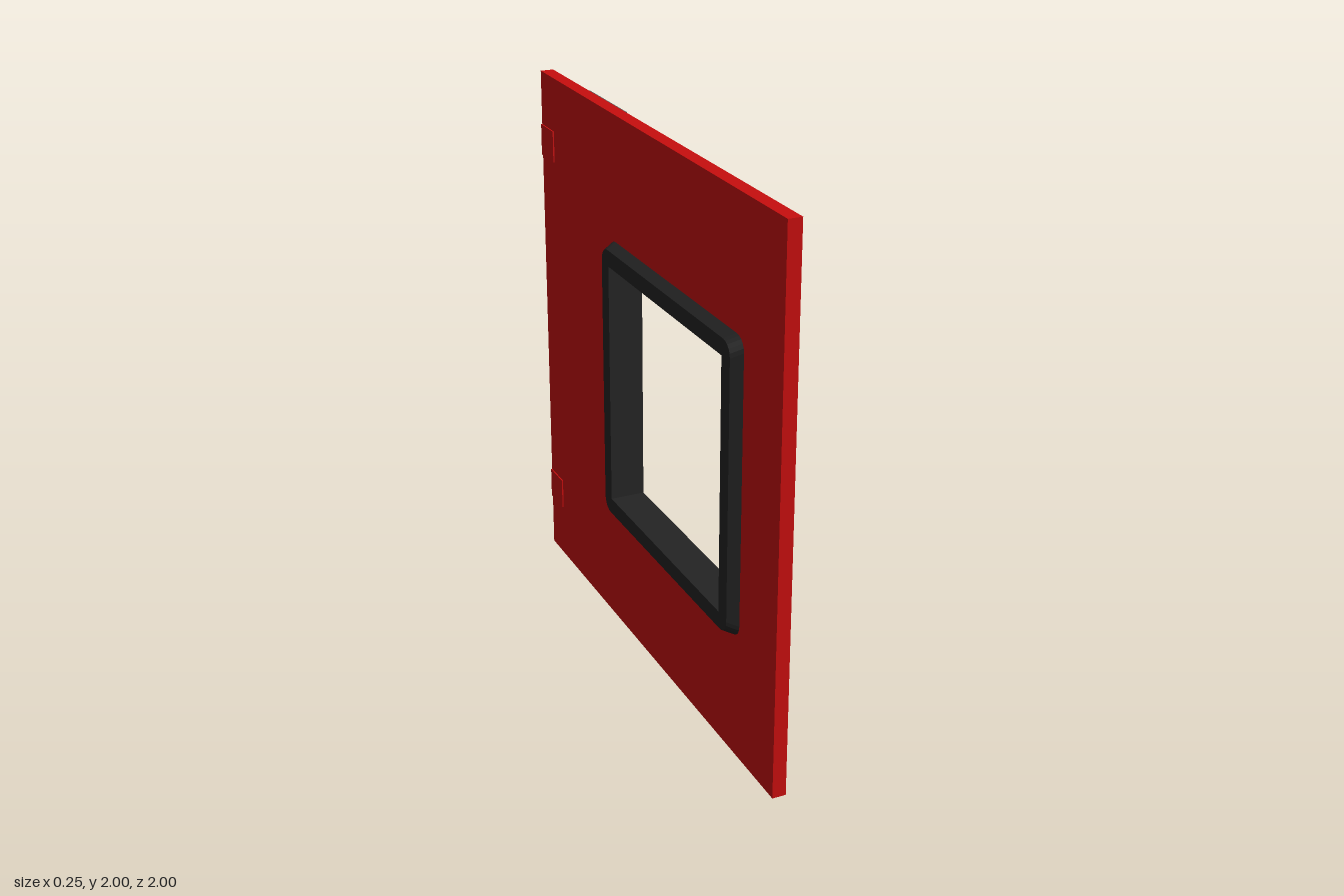
import * as THREE from 'three';

const mat = (name, color) => Object.assign(new THREE.MeshStandardMaterial({ color }), { name });

// Outline of a rounded rectangle in the plane at x, counterclockwise seen from +x
function outline({ x, y, z, w, h, r = 0 }) {
  const pts = [];
  const steps = 5;
  [[1, 1], [-1, 1], [-1, -1], [1, -1]].forEach(([su, sv], corner) => {
    for (let i = 0; i <= steps; i++) {
      const a = (corner + i / steps) * Math.PI / 2;
      pts.push([x, y + sv * (h / 2 - r) + r * Math.sin(a), z - su * (w / 2 - r) - r * Math.cos(a)]);
    }
  });
  return pts;
}

// Flat-faced skin through successive outlines
function loft(sections) {
  const loops = sections.map(outline);
  const pos = [];
  for (let s = 0; s < loops.length - 1; s++) {
    const a = loops[s], b = loops[s + 1];
    for (let i = 0; i < a.length; i++) {
      const j = (i + 1) % a.length;
      pos.push(...a[i], ...a[j], ...b[j], ...a[i], ...b[j], ...b[i]);
    }
  }
  const g = new THREE.BufferGeometry();
  g.setAttribute('position', new THREE.Float32BufferAttribute(pos, 3));
  g.computeVertexNormals();
  return g;
}

// Plate standing on the outer face, with a narrow bevelled rim
function bevelPlate(x0, x1, y, z, w, h, bevel) {
  const c = { y, z };
  return loft([
    { ...c, x: x0, w, h },
    { ...c, x: x1 - 0.006, w, h },
    { ...c, x: x1, w: w - 2 * bevel, h: h - 2 * bevel },
    { ...c, x: x1, w: 0, h: 0 },
  ]);
}

export function createModel() {
  const group = new THREE.Group();
  const red = mat('red paint', 0xc80e0e);
  const black = mat('black rubber', 0x242424);
  const darkGrey = mat('dark grey', 0x575c5c);
  const lightGrey = mat('light grey', 0x838988);
  const metal = mat('handle metal', 0xb4b4b4);
  const add = (name, geometry, material) => {
    const m = new THREE.Mesh(geometry, material);
    m.name = name;
    group.add(m);
    return m;
  };
  const back = -0.09, face = -0.04;

  // Door panel with window opening
  const shape = new THREE.Shape([[-1, 0], [1, 0], [1, 2], [-1, 2]].map(p => new THREE.Vector2(...p)));
  shape.holes.push(new THREE.Path([[-0.28, 0.52], [-0.28, 1.48], [0.68, 1.48], [0.68, 0.52]]
    .map(p => new THREE.Vector2(...p))));
  const panel = new THREE.ExtrudeGeometry(shape, { depth: face - back, bevelEnabled: false });
  panel.rotateY(-Math.PI / 2).translate(face, 0, 0);
  add('doorPanel', panel, red);

  // Window frame running through the panel, flared on the back
  const c = { y: 1, z: 0.2 };
  const inner = { ...c, w: 0.92, h: 0.92 };
  add('windowFrame', loft([
    { ...inner, x: 0 },
    { ...inner, x: -0.13 },
    { ...c, x: -0.13, w: 1.04, h: 1.04, r: 0.05 },
    { ...c, x: back, w: 1.075, h: 1.075, r: 0.05 },
    { ...c, x: face, w: 1, h: 1, r: 0.05 },
    { ...c, x: 0, w: 1, h: 1, r: 0.05 },
    { ...inner, x: 0 },
  ]), black);

  // Vertical stripe and raised pad
  const stripe = new THREE.BoxGeometry(0.004, 2, 0.337);
  add('stripe', stripe, darkGrey).position.set(face + 0.002, 1, -0.468);
  const p = { y: 1.005, z: -0.468 };
  const padTop = { ...p, x: -0.025, w: 0.265, h: 1.43, r: 0.04 };
  add('padBevel', loft([{ ...p, x: face + 0.003, w: 0.335, h: 1.5, r: 0.04 }, padTop]), darkGrey);
  add('padFace', loft([padTop, { ...p, x: -0.025, w: 0, h: 0 }]), lightGrey);

  // Handle plate and grab handle
  add('handlePlate', bevelPlate(face, -0.02, 1, -0.735, 0.195, 1.02, 0.013), darkGrey);
  const v = (x, y) => new THREE.Vector3(x, y, -0.74);
  const path = new THREE.CurvePath();
  const low = 0.603, high = 1.403, out = 0.097, bend = 0.06;
  path.add(new THREE.LineCurve3(v(-0.025, low), v(out - bend, low)));
  path.add(new THREE.QuadraticBezierCurve3(v(out - bend, low), v(out, low), v(out, low + bend)));
  path.add(new THREE.LineCurve3(v(out, low + bend), v(out, high - bend)));
  path.add(new THREE.QuadraticBezierCurve3(v(out, high - bend), v(out, high), v(out - bend, high)));
  path.add(new THREE.LineCurve3(v(out - bend, high), v(-0.025, high)));
  add('handle', new THREE.TubeGeometry(path, 120, 0.025, 16), metal);

  // Hinge pads outside, with small raised bosses on the back
  for (const [name, y, bossY] of [['lower', 0.265, 0.275], ['upper', 1.74, 1.735]]) {
    add(name + 'Hinge', bevelPlate(face, -0.02, y, -0.935, 0.13, 0.2, 0.006), black);
    add(name + 'HingeBoss', new THREE.BoxGeometry(0.01, 0.12, 0.122), red).position.set(back, bossY, -0.938);
  }
  return group;
}
